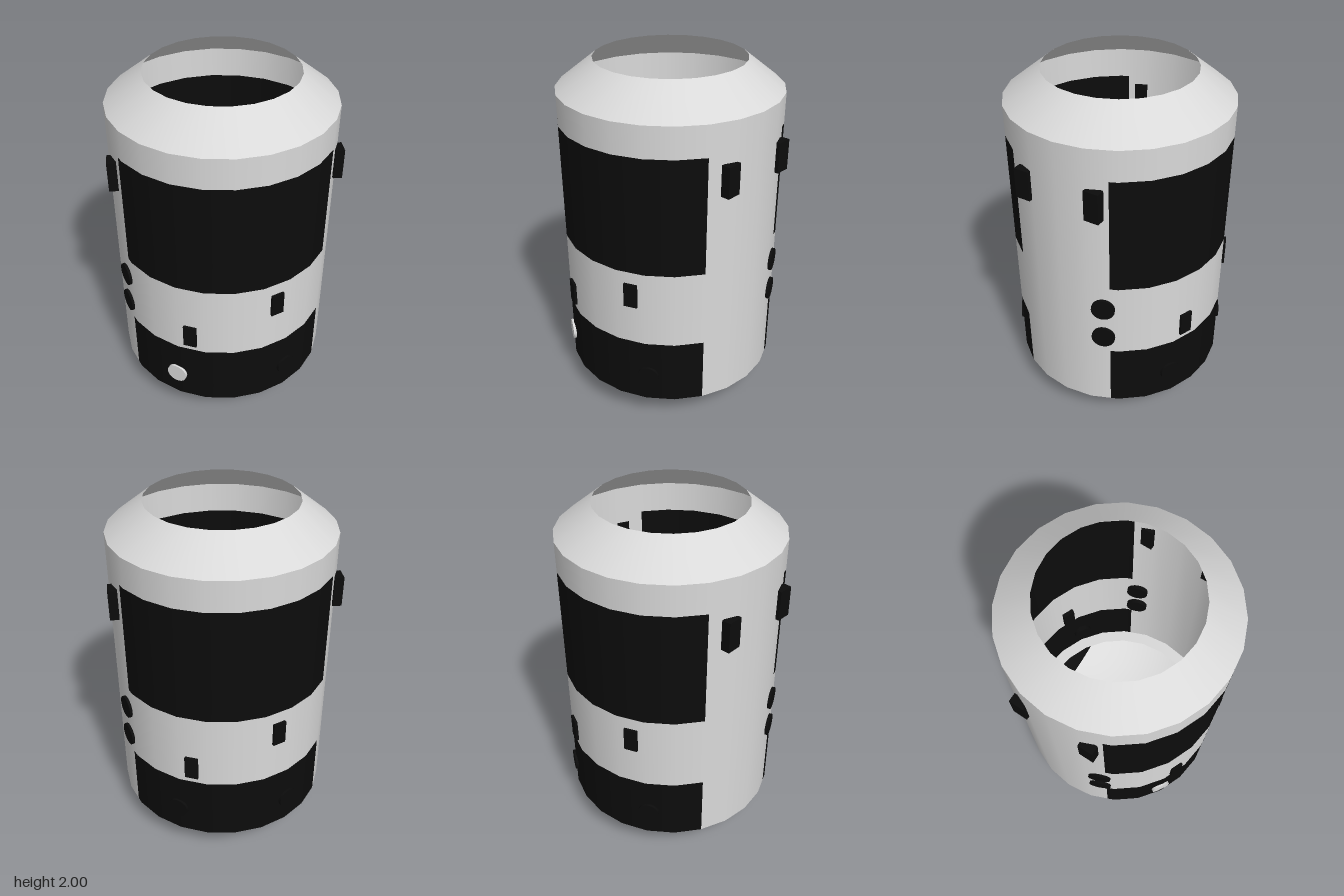
import * as THREE from 'three';

const R = 0.62, SIDES = 24;                    // hull
const BASE = 0.17, SHOULDER = 1.84, TOP = 2;   // heights
const DOME_R = 0.545, DOME_CUT = 0.45;         // lower dome

const material = (name, color) => {
  const m = new THREE.MeshStandardMaterial({ color, side: THREE.DoubleSide });
  m.name = name;
  return m;
};

// Surface from a rectangular grid; point(u, v) returns [position, normal]
function gridSurface(us, vs, point) {
  const pos = [], nor = [], idx = [], n = vs.length;
  us.forEach((u, i) => vs.forEach((v, j) => {
    const [p, q] = point(u, v);
    pos.push(p.x, p.y, p.z);
    nor.push(q.x, q.y, q.z);
    if (i && j) {
      const a = (i - 1) * n + j - 1, b = a + n;
      idx.push(a, b, b + 1, a, b + 1, a + 1);
    }
  }));
  const g = new THREE.BufferGeometry();
  g.setAttribute('position', new THREE.Float32BufferAttribute(pos, 3));
  g.setAttribute('normal', new THREE.Float32BufferAttribute(nor, 3));
  g.setIndex(idx);
  return g;
}

// Piece of the many-sided hull wall between two angles (degrees) and heights
function wallPiece(a0, a1, y0, y1) {
  const step = 360 / SIDES, angles = [a0];
  for (let a = (Math.floor(a0 / step) + 1) * step; a < a1; a += step) angles.push(a);
  angles.push(a1);
  return gridSurface(angles, [y1, y0], (deg, y) => {
    const a = THREE.MathUtils.degToRad(deg);
    const off = THREE.MathUtils.degToRad(deg - (Math.floor(deg / step) + 0.5) * step);
    const r = R * Math.cos(Math.PI / SIDES) / Math.cos(off);
    return [new THREE.Vector3(r * Math.cos(a), y, r * Math.sin(a)),
      new THREE.Vector3(Math.cos(a), 0, Math.sin(a))];
  });
}

// Piece of the shallow spherical dome, bounded in x and by two z limits
function domePiece(x0, x1, zLow, zHigh) {
  const sphereR = (DOME_R ** 2 + BASE ** 2) / (2 * BASE);
  const t0 = Math.asin(x0 / DOME_R), t1 = Math.asin(x1 / DOME_R);
  const steps = Array.from({ length: 13 }, (_, i) => i / 12);
  return gridSurface(steps, steps, (u, v) => {
    const x = DOME_R * Math.sin(t0 + (t1 - t0) * u);
    const z = THREE.MathUtils.lerp(zLow(x), zHigh(x), v);
    const drop = Math.sqrt(sphereR ** 2 - x * x - z * z);
    return [new THREE.Vector3(x, sphereR - drop, z),
      new THREE.Vector3(x, -drop, z).divideScalar(sphereR)];
  });
}

export function createModel() {
  const model = new THREE.Group();
  model.name = 'stationModule';
  const white = material('hullWhite', 0xd9d9d9);
  const black = material('panelBlack', 0x0c0c0c);

  const add = (parent, name, geometry, mat) => {
    const mesh = new THREE.Mesh(geometry, mat);
    mesh.name = name;
    parent.add(mesh);
    return mesh;
  };

  // Open conical collar and flat bottom rim
  const collar = new THREE.CylinderGeometry(0.415, R, TOP - SHOULDER, SIDES, 1, true);
  add(model, 'collar', collar.translate(0, (TOP + SHOULDER) / 2, 0), white);
  const rim = new THREE.RingGeometry(DOME_R, R, SIDES).rotateX(Math.PI / 2);
  add(model, 'bottomRim', rim.translate(0, BASE, 0), white);

  // Lower dome: white middle, black front and back caps
  const edge = x => Math.sqrt(Math.max(0, DOME_R ** 2 - x * x));
  const capX = edge(DOME_CUT);
  add(model, 'domeMiddle', domePiece(-capX, capX, () => -DOME_CUT, () => DOME_CUT), white);
  add(model, 'domeRight', domePiece(-DOME_R, -capX, x => -edge(x), edge), white);
  add(model, 'domeLeft', domePiece(capX, DOME_R, x => -edge(x), edge), white);
  add(model, 'domeFrontCap', domePiece(-capX, capX, () => DOME_CUT, edge), black);
  add(model, 'domeBackCap', domePiece(-capX, capX, x => -edge(x), () => -DOME_CUT), black);

  // Two identical halves, the second turned half way round
  for (const side of ['front', 'back']) {
    const half = new THREE.Group();
    half.name = side + 'Half';
    half.rotation.y = side === 'back' ? Math.PI : 0;
    model.add(half);

    // Hull wall with its black panels
    const A = 30, B = 154.2;
    add(half, 'lowerPanel', wallPiece(A, B, BASE, 0.56), black);
    add(half, 'middleBand', wallPiece(A, B, 0.56, 1.01), white);
    add(half, 'upperPanel', wallPiece(A, B, 1.01, 1.67), black);
    add(half, 'upperBand', wallPiece(A, B, 1.67, SHOULDER), white);
    add(half, 'sideWall', wallPiece(B, A + 180, BASE, SHOULDER), white);

    // Square-set side blocks
    for (const x of [-0.594, 0.594]) {
      add(half, 'sideBlock', new THREE.BoxGeometry(0.05, 0.17, 0.085), black)
        .position.set(x, 1.537, 0.205);
    }

    // Fittings facing outwards, their outer face at radius 0.63
    const fit = (name, geometry, x, y, z, mat) => {
      const a = Math.atan2(x, z);
      const mesh = add(half, name, geometry, mat);
      mesh.position.set(0.61 * Math.sin(a), y, 0.61 * Math.cos(a));
      mesh.rotation.y = a;
    };
    const disc = r => new THREE.CylinderGeometry(r, r, 0.04, 24).rotateX(Math.PI / 2);
    const block = () => new THREE.BoxGeometry(0.075, 0.14, 0.04);
    fit('leftBlock', block(), 0.24, 0.87, 0.57, black);
    fit('rightBlock', block(), -0.24, 0.67, 0.57, black);
    fit('upperSideDisc', disc(0.065), -0.575, 0.87, 0.237, black);
    fit('lowerSideDisc', disc(0.065), -0.575, 0.67, 0.237, black);
    fit('leftPort', disc(0.06), 0.32, 0.335, 0.53, black);
    fit('rightPort', disc(0.06), -0.32, 0.335, 0.53, side === 'front' ? white : black);
  }
  return model;
}
